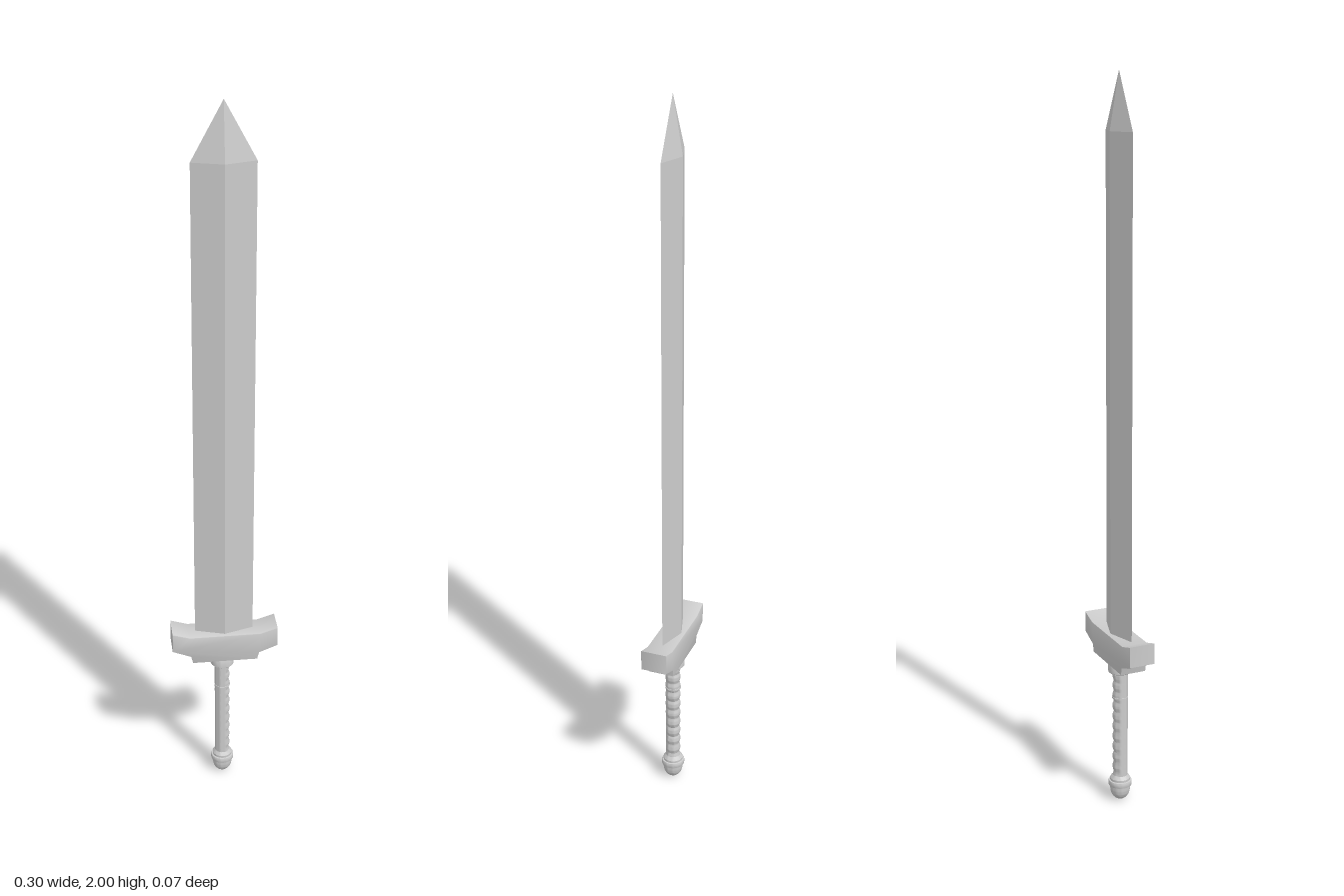
import * as THREE from 'three';
import { toCreasedNormals } from 'three/addons/utils/BufferGeometryUtils.js';

const smooth = new THREE.MeshStandardMaterial({ color: 0xcccccc });
const faceted = new THREE.MeshStandardMaterial({ color: 0xcccccc, flatShading: true });

function add(parent, name, geometry, material = smooth) {
  const mesh = new THREE.Mesh(geometry, material);
  mesh.name = name;
  parent.add(mesh);
  return mesh;
}

function lathe(points, segments = 32) {
  const geo = new THREE.LatheGeometry(points.map(([r, y]) => new THREE.Vector2(r, y)), segments);
  return toCreasedNormals(geo, 0.6);
}

// Diamond-section blade with a pyramid point
function makeBlade() {
  const blade = new THREE.Group();
  blade.name = 'blade';
  const base = 0.49, shoulder = 1.85, tip = 2;
  const body = new THREE.CylinderGeometry(1, 1, shoulder - base, 4, 1, true);
  body.translate(0, (base + shoulder) / 2, 0);
  const point = new THREE.ConeGeometry(1, tip - shoulder, 4, 1, true);
  point.translate(0, (shoulder + tip) / 2, 0);
  add(blade, 'bladeBody', body, faceted);
  add(blade, 'bladePoint', point, faceted);
  blade.scale.set(0.082, 1, 0.026);
  blade.position.z = -0.001;
  return blade;
}

// Crossguard: mirrored outline with raised ends and a stepped underside
function makeGuard() {
  const half = [[0.09, 0.417], [0.095, 0.438], [0.147, 0.459], [0.147, 0.514], [0.1, 0.499]];
  const outline = [...half, ...half.map(([x, y]) => [-x, y]).reverse()];
  const shape = new THREE.Shape(outline.map(([x, y]) => new THREE.Vector2(x, y)));
  const bevel = 0.002, depth = 0.074 - 2 * bevel;
  const geo = new THREE.ExtrudeGeometry(shape, {
    depth, bevelEnabled: true, bevelSize: bevel, bevelThickness: bevel, bevelSegments: 2,
  });
  geo.translate(0, 0, -depth / 2 - 0.001);
  return toCreasedNormals(geo, 0.5);
}

// Grip: round rod whose finger grooves fade out towards one side
function makeGrip() {
  const bottom = 0.055, top = 0.392, rows = 96, grooves = 11;
  const points = [];
  for (let i = 0; i <= rows; i++) {
    points.push(new THREE.Vector2(0.0215, bottom + (top - bottom) * i / rows));
  }
  const geo = new THREE.LatheGeometry(points, 32);
  const pos = geo.attributes.position;
  for (let i = 0; i < pos.count; i++) {
    const x = pos.getX(i), y = pos.getY(i), z = pos.getZ(i);
    const side = THREE.MathUtils.smoothstep((x - z) / 0.0215, -0.9, 0.6);
    const wave = Math.abs(Math.sin(Math.PI * grooves * (y - bottom) / (top - bottom)));
    const k = 1 - 0.2 * side * (1 - wave);
    pos.setXYZ(i, x * k, y, z * k);
  }
  return toCreasedNormals(geo, 0.6);
}

export function createModel() {
  const model = new THREE.Group();
  model.name = 'sword';
  model.add(makeBlade());
  add(model, 'crossguard', makeGuard());

  const handle = new THREE.Group();
  handle.name = 'handle';
  handle.position.x = -0.005;
  model.add(handle);
  add(handle, 'grip', makeGrip());

  // Collar under the guard and a thin band on the grip
  add(handle, 'collar', lathe([
    [0, 0.387], [0.031, 0.387], [0.033, 0.389], [0.033, 0.412], [0.031, 0.417], [0, 0.417],
  ]));
  add(handle, 'gripBand', lathe([[0.02, 0.308], [0.0225, 0.309], [0.0225, 0.313], [0.02, 0.314]]));

  // Pommel: rounded end with a raised ring
  const ball = [];
  for (let i = 0; i <= 10; i++) {
    const a = (i / 10) * Math.PI / 2;
    ball.push([0.028 * Math.sin(a), 0.034 * (1 - Math.cos(a))]);
  }
  add(handle, 'pommel', lathe([...ball, [0.028, 0.066], [0.021, 0.076]]));
  add(handle, 'pommelRing', lathe([
    [0.027, 0.043], [0.032, 0.044], [0.033, 0.047], [0.033, 0.056], [0.032, 0.059], [0.027, 0.06],
  ]));
  return model;
}
